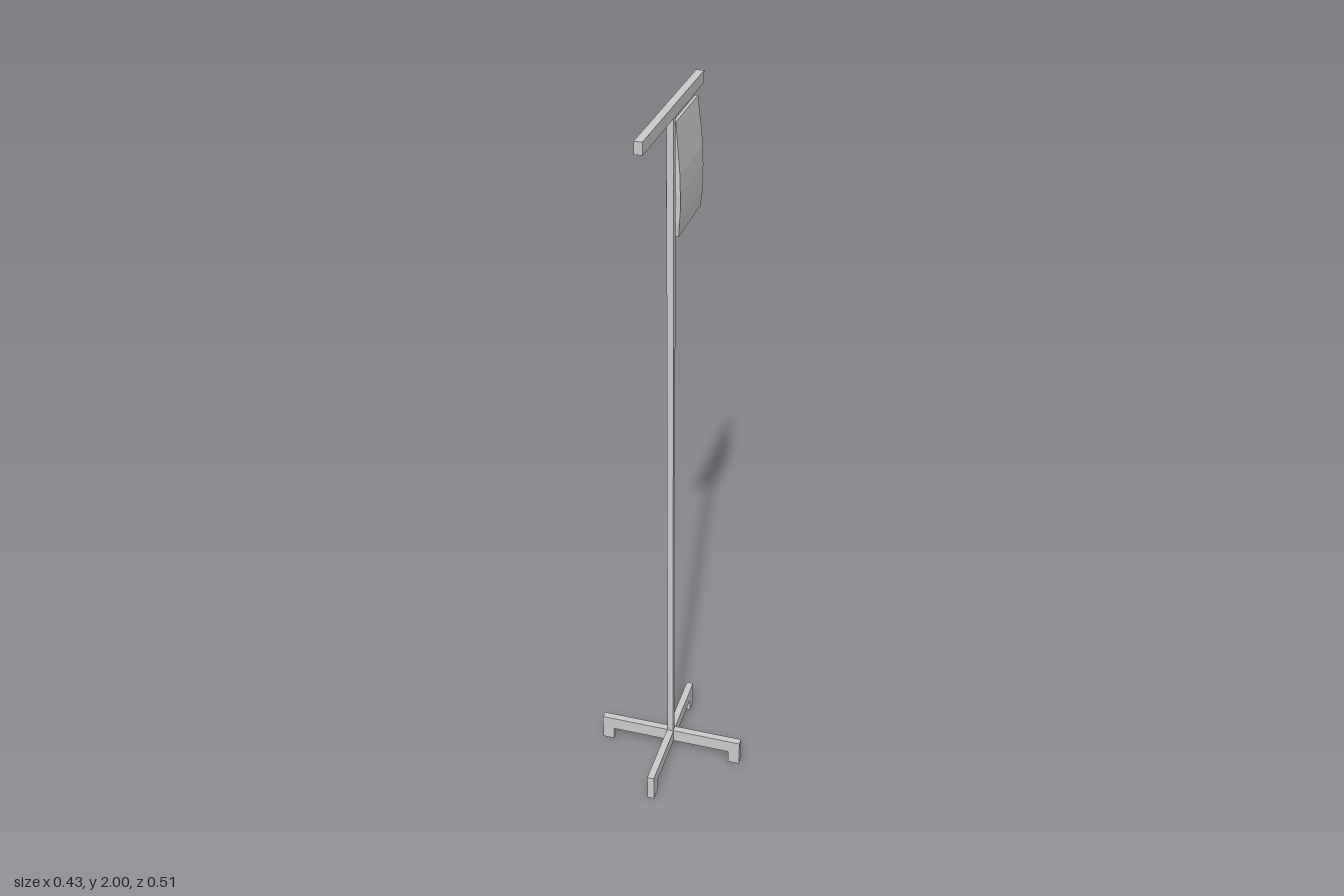
import * as THREE from 'three';

const material = new THREE.MeshStandardMaterial({ color: 0xcccccc, flatShading: true });

function box(name, w, h, d, x, y, z) {
  const mesh = new THREE.Mesh(new THREE.BoxGeometry(w, h, d), material);
  mesh.name = name;
  mesh.position.set(x, y, z);
  return mesh;
}

// Closed solid from rectangular sections [y, halfThickness, zBack, zFront], bottom to top
function loftSections(sections, cx) {
  const pos = [];
  const index = [];
  for (const [y, t, zb, zf] of sections) {
    pos.push(cx - t, y, zf, cx + t, y, zf, cx + t, y, zb, cx - t, y, zb);
  }
  for (let i = 0; i < sections.length - 1; i++) {
    for (let k = 0; k < 4; k++) {
      const a = i * 4 + k;
      const b = i * 4 + ((k + 1) % 4);
      index.push(a, b, b + 4, a, b + 4, a + 4);
    }
  }
  const n = (sections.length - 1) * 4;
  index.push(0, 2, 1, 0, 3, 2, n, n + 1, n + 2, n, n + 2, n + 3);
  const geometry = new THREE.BufferGeometry();
  geometry.setAttribute('position', new THREE.Float32BufferAttribute(pos, 3));
  geometry.setIndex(index);
  const flat = geometry.toNonIndexed();
  flat.computeVertexNormals();
  return flat;
}

export function createModel() {
  const model = new THREE.Group();
  model.name = 'stand';

  // Upright pole and top crossbar
  model.add(box('pole', 0.017, 1.93, 0.017, 0, 1.005, 0));
  model.add(box('crossbar', 0.02, 0.03, 0.506, 0, 1.985, 0));

  // Cross-shaped base: two beams, each with a foot at either end
  const base = new THREE.Group();
  base.name = 'base';
  for (const turn of [0, Math.PI / 2]) {
    const leg = new THREE.Group();
    leg.name = 'leg';
    leg.add(box('beam', 0.426, 0.04, 0.02, 0, 0.06, 0));
    for (const s of [-1, 1]) leg.add(box('foot', 0.034, 0.042, 0.02, s * 0.196, 0.021, 0));
    leg.rotation.y = turn;
    leg.position.z = turn ? 0 : -0.003;
    base.add(leg);
  }
  model.add(base);

  // Hanging panel, bulging in the middle and thin at the top
  const panel = new THREE.Mesh(loftSections([
    [1.662, 0.013, -0.231, -0.030],
    [1.70, 0.016, -0.239, -0.026],
    [1.735, 0.0175, -0.236, -0.028],
    [1.77, 0.0178, -0.235, -0.026],
    [1.82, 0.0165, -0.234, -0.027],
    [1.88, 0.011, -0.233, -0.029],
    [1.945, 0.004, -0.230, -0.035],
  ], -0.0025), material);
  panel.name = 'hangingPanel';
  model.add(panel);

  return model;
}
